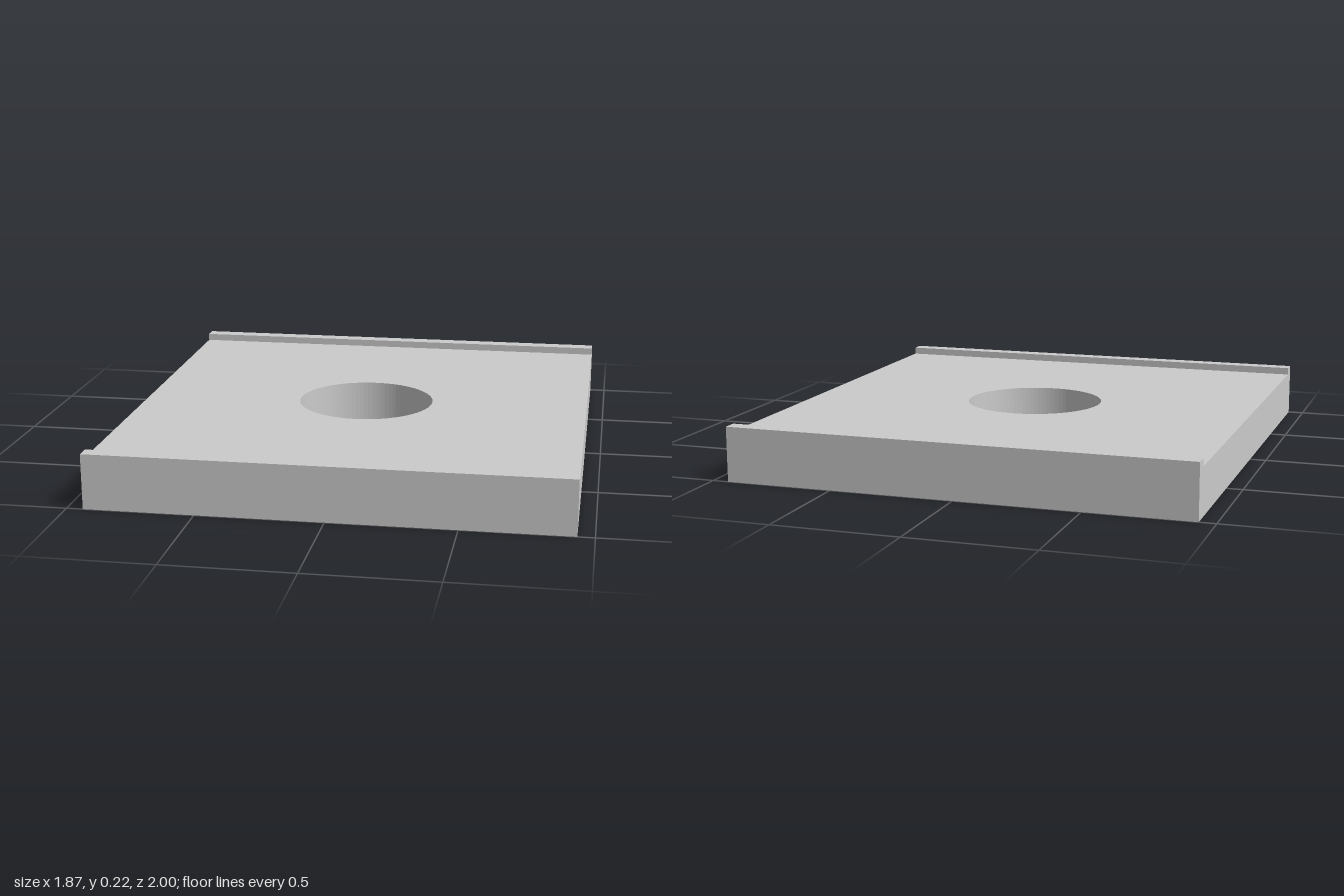
import * as THREE from 'three';

const WIDTH = 1.87, DEPTH = 2, PLATE = 0.19, HEIGHT = 0.22, LIP = 0.06, HOLE = 0.283;

export function createModel() {
  const group = new THREE.Group();
  const material = new THREE.MeshStandardMaterial({ color: 0xcccccc });

  // Flat plate with a round hole through its centre
  const shape = new THREE.Shape([
    new THREE.Vector2(-WIDTH / 2, -DEPTH / 2),
    new THREE.Vector2(WIDTH / 2, -DEPTH / 2),
    new THREE.Vector2(WIDTH / 2, DEPTH / 2),
    new THREE.Vector2(-WIDTH / 2, DEPTH / 2),
  ]);
  shape.holes.push(new THREE.Path().absarc(0, 0, HOLE, 0, Math.PI * 2, true));
  const plateGeometry = new THREE.ExtrudeGeometry(shape, {
    depth: PLATE, bevelEnabled: false, curveSegments: 48,
  });
  plateGeometry.rotateX(-Math.PI / 2);
  const plate = new THREE.Mesh(plateGeometry, material);
  plate.name = 'plate';
  group.add(plate);

  // Raised lips along the front and back edges
  const lipGeometry = new THREE.BoxGeometry(WIDTH, HEIGHT - PLATE, LIP);
  for (const [name, side] of [['frontLip', 1], ['backLip', -1]]) {
    const lip = new THREE.Mesh(lipGeometry, material);
    lip.name = name;
    lip.position.set(0, (PLATE + HEIGHT) / 2, side * (DEPTH - LIP) / 2);
    group.add(lip);
  }
  return group;
}
